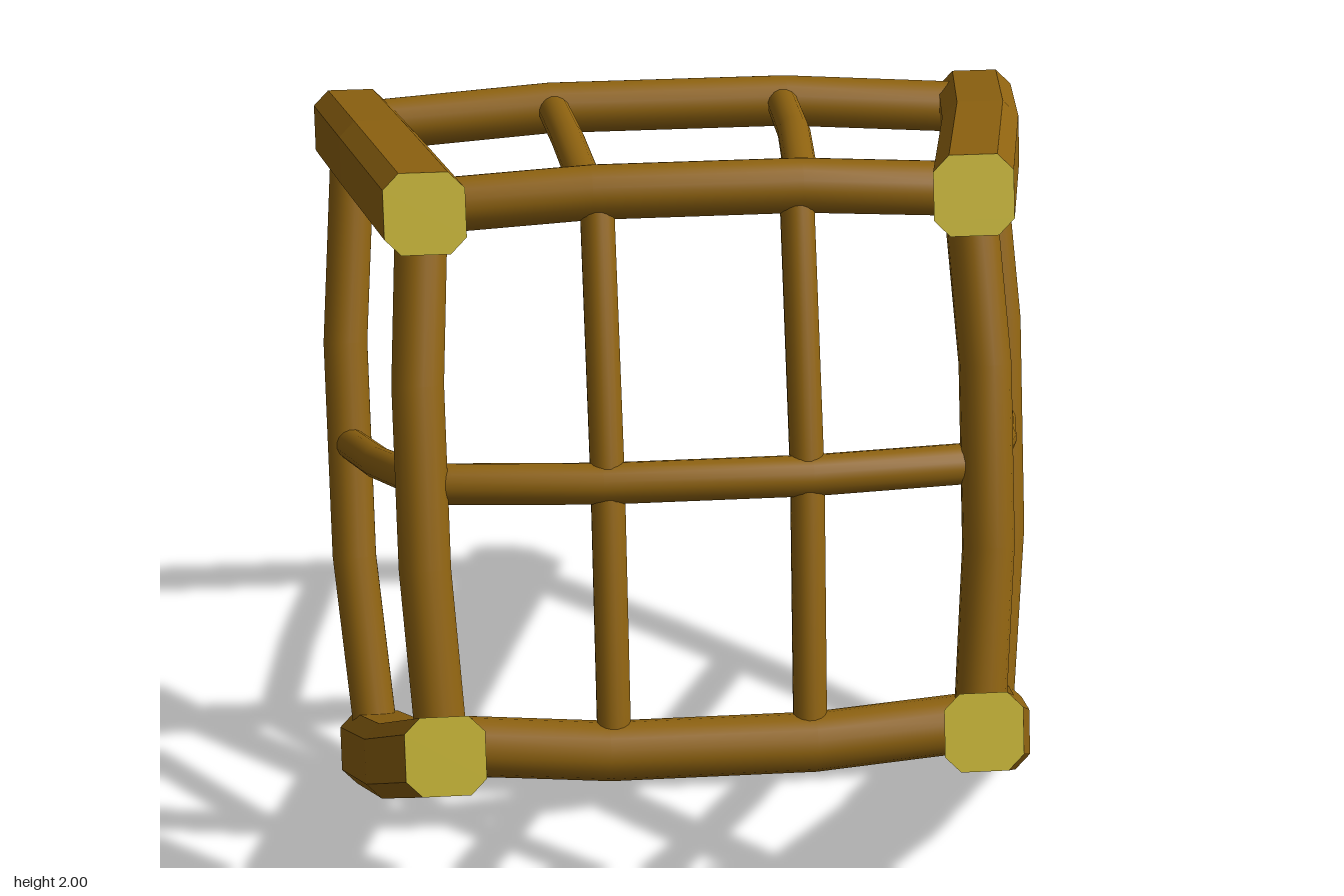
import * as THREE from 'three';

const wood = new THREE.MeshStandardMaterial({ color: 0x8f6310 });
wood.name = 'brown wood';
const cut = new THREE.MeshStandardMaterial({ color: 0xc6b437 });
cut.name = 'pale cut wood';
const dark = new THREE.MeshStandardMaterial({ color: 0x3a300b });
dark.name = 'dark wood';

// The whole frame leans back by about twenty degrees
const TILT = 0.358;
const X = new THREE.Vector3(1, 0, 0);
const UP = new THREE.Vector3(0, Math.cos(TILT), -Math.sin(TILT));
const FRONT = new THREE.Vector3(0, Math.sin(TILT), Math.cos(TILT));

const circle = (r, n = 16) => Array.from({ length: n }, (_, i) => {
  const t = ((i + 0.5) / n) * Math.PI * 2;
  return [r * Math.cos(t), r * Math.sin(t)];
});
const octagon = [
  [0.1, -0.06], [0.1, 0.06], [0.06, 0.1], [-0.06, 0.1],
  [-0.1, 0.06], [-0.1, -0.06], [-0.06, -0.1], [0.06, -0.1],
];

// Sweeps a profile along points, keeping its plane parallel to axes a and b
function sweep(name, path, profile, a, b, { flat = false, darkBack = false } = {}) {
  let pts = path.map((p) => new THREE.Vector3(...p));
  const along = pts[pts.length - 1].clone().sub(pts[0]);
  if (new THREE.Vector3().crossVectors(a, b).dot(along) < 0) pts.reverse();
  const n = profile.length;
  const pos = [];
  for (const p of pts) {
    for (const [u, v] of profile) {
      const q = p.clone().addScaledVector(a, u).addScaledVector(b, v);
      pos.push(q.x, q.y, q.z);
    }
  }
  const faces = [[], [], []]; // wood, cut end, dark back
  for (let i = 0; i < pts.length - 1; i++) {
    for (let j = 0; j < n; j++) {
      const k = (j + 1) % n;
      const p = i * n + j, q = i * n + k;
      const m = [profile[j][0] + profile[k][0], profile[j][1] + profile[k][1]];
      const isBack = darkBack && m[1] / Math.hypot(...m) < -0.5;
      faces[isBack ? 2 : 0].push(p, q, q + n, p, q + n, p + n);
    }
  }
  if (flat) {
    const e = (pts.length - 1) * n;
    for (let j = 1; j < n - 1; j++) {
      faces[0].push(0, j + 1, j);
      faces[1].push(e, e + j, e + j + 1);
    }
  }
  let geo = new THREE.BufferGeometry();
  geo.setAttribute('position', new THREE.Float32BufferAttribute(pos, 3));
  geo.setIndex(faces.flat());
  let start = 0;
  faces.forEach((f, i) => {
    if (f.length) geo.addGroup(start, f.length, i);
    start += f.length;
  });
  if (flat) geo = geo.toNonIndexed();
  geo.computeVertexNormals();
  const mesh = new THREE.Mesh(geo, [wood, cut, dark]);
  mesh.name = name;
  return mesh;
}

// Cross rod: flat in the middle, bending toward both ends
const crossPath = (xm, [ym, zm], xe, [ye, ze]) =>
  [[-xe, ye, ze], [-xm, ym, zm], [xm, ym, zm], [xe, ye, ze]];

export function createModel() {
  const g = new THREE.Group();
  g.name = 'bulgedFrame';
  const thick = circle(0.069), post = circle(0.066), thin = circle(0.043);

  // Rods running across
  g.add(sweep('topFrontRod', crossPath(0.26, [1.9, 0.195], 0.68, [1.865, 0.17]), thick, UP, FRONT));
  g.add(sweep('bottomFrontRod', crossPath(0.26, [0.58, 0.672], 0.69, [0.6, 0.64]), circle(0.076), UP, FRONT));
  g.add(sweep('topBackRod', crossPath(0.32, [1.775, -0.697], 0.83, [1.745, -0.68]), thick, UP, FRONT, { darkBack: true }));
  g.add(sweep('bottomBackRod', crossPath(0.32, [0.1, -0.1], 0.83, [0.135, -0.11]), thick, UP, FRONT, { darkBack: true }));
  g.add(sweep('middleFrontRod', crossPath(0.26, [1.257, 0.517], 0.69, [1.232, 0.435]), circle(0.052), UP, FRONT));

  for (const s of [1, -1]) {
    const side = s > 0 ? 'left' : 'right';
    const add = (name, path, ...rest) =>
      g.add(sweep(side + name, path.map(([x, y, z]) => [s * x, y, z]), ...rest));

    // Heavy chamfered beams with pale front ends
    add('TopBeam', [[0.853, 1.71, -0.77], [0.78, 1.83, -0.235], [0.673, 1.908, 0.315]], octagon, X, UP, { flat: true });
    add('BottomBeam', [[0.853, 0.1, -0.185], [0.78, 0.355, 0.305], [0.673, 0.645, 0.77]], octagon, X, UP, { flat: true });

    // Corner posts
    add('FrontPost', [[0.68, 1.87, 0.2], [0.706, 1.48, 0.38], [0.706, 1.05, 0.535], [0.68, 0.6, 0.66]], post, X, FRONT);
    add('BackPost', [[0.85, 1.72, -0.672], [0.893, 1.2, -0.488], [0.893, 0.65, -0.29], [0.85, 0.13, -0.105]],
      circle(0.06), X, FRONT, { darkBack: true });

    // Thin bars of the front, top, bottom and side
    add('FrontBar', [[0.248, 1.88, 0.205], [0.248, 1.25, 0.515], [0.248, 0.6, 0.66]], thin, X, FRONT);
    add('TopBar', [[0.31, 1.775, -0.69], [0.293, 1.86, -0.25], [0.265, 1.895, 0.19]], thin, X, UP);
    add('BottomBar', [[0.315, 0.105, -0.1], [0.29, 0.325, 0.28], [0.25, 0.58, 0.66]], thin, X, UP);
    add('SideBar', [[0.715, 1.25, 0.44], [0.815, 1.1, 0.045], [0.89, 0.945, -0.38]], thin, X, UP);
  }
  return g;
}
